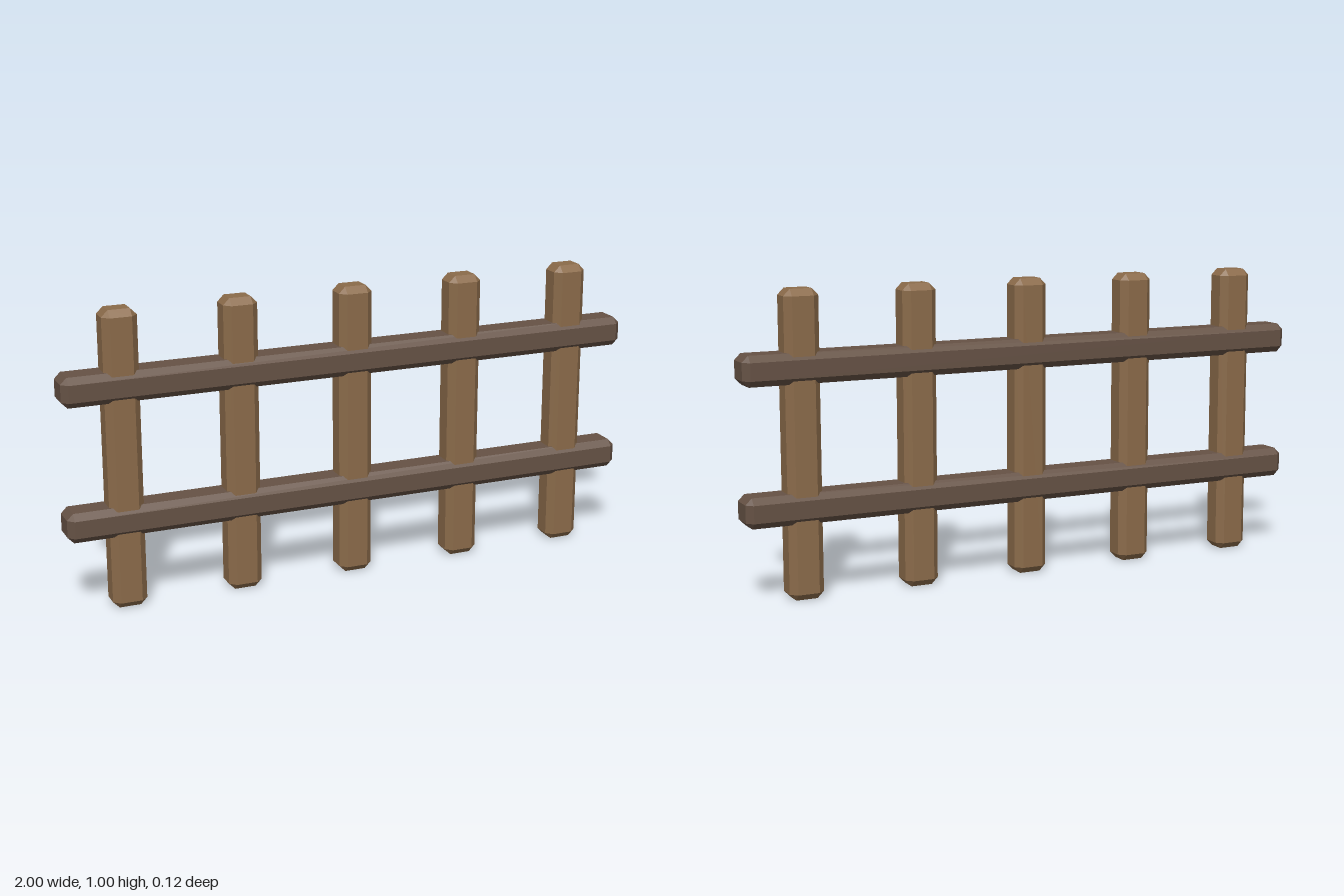
import * as THREE from 'three';
import { ConvexGeometry } from 'three/addons/geometries/ConvexGeometry.js';

// Box with every edge and corner cut at 45 degrees
function chamferedBox(width, height, depth, cut) {
  const half = [width / 2, height / 2, depth / 2];
  const points = [];
  for (const sx of [-1, 1]) for (const sy of [-1, 1]) for (const sz of [-1, 1]) {
    const sign = [sx, sy, sz];
    // Each corner becomes three points, one on each adjoining face
    for (let face = 0; face < 3; face++) {
      points.push(new THREE.Vector3(...half.map((h, i) => sign[i] * (i === face ? h : h - cut))));
    }
  }
  return new ConvexGeometry(points);
}

export function createModel() {
  const fence = new THREE.Group();
  fence.name = 'fence';
  const postWood = new THREE.MeshStandardMaterial({ color: 0x8b6b4a, flatShading: true });
  const railWood = new THREE.MeshStandardMaterial({ color: 0x665245, flatShading: true });

  const add = (name, geometry, material, x, y) => {
    const mesh = new THREE.Mesh(geometry, material);
    mesh.name = name;
    mesh.position.set(x, y, 0);
    fence.add(mesh);
  };

  // Five evenly spaced upright posts
  const postGeometry = chamferedBox(0.116, 1, 0.1, 0.022);
  for (let i = -2; i <= 2; i++) add(`post${i + 3}`, postGeometry, postWood, i * 0.4, 0.5);

  // Two long rails through the posts
  const railGeometry = chamferedBox(2, 0.1, 0.118, 0.021);
  add('lowerRail', railGeometry, railWood, 0, 0.3);
  add('upperRail', railGeometry, railWood, 0, 0.75);

  return fence;
}
